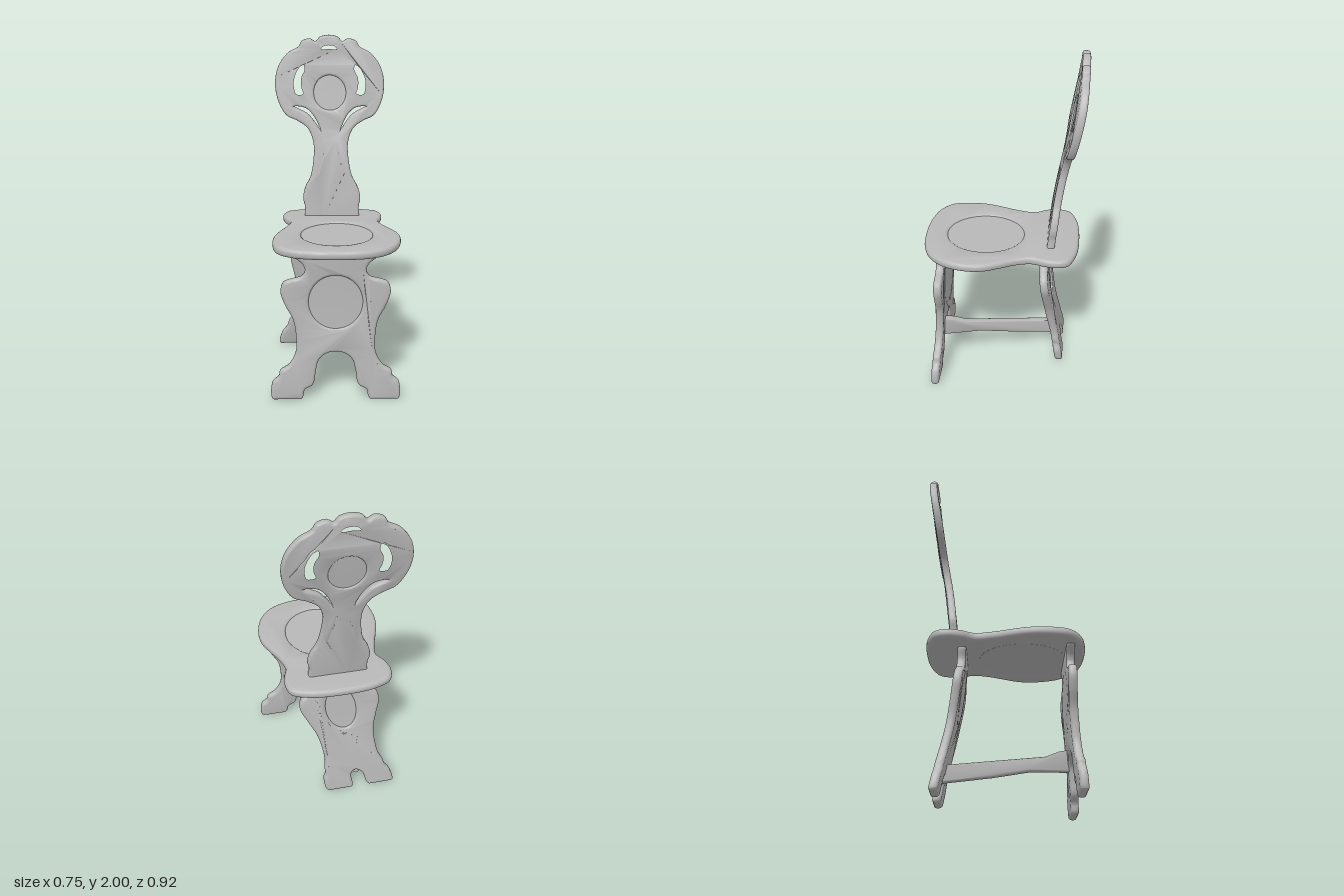
import * as THREE from 'three';
import { toCreasedNormals } from 'three/addons/utils/BufferGeometryUtils.js';

const wood = new THREE.MeshStandardMaterial({ color: 0xb8b8b8 });
wood.name = 'plain wood';

// Smooth closed outline through a few points
function smooth(points, y0 = -Infinity) {
  const curve = new THREE.CatmullRomCurve3(points.map(([x, y]) => new THREE.Vector3(x, y, 0)), true, 'centripetal');
  return curve.getPoints(points.length * 6).slice(0, -1).map(p => new THREE.Vector2(p.x, Math.max(y0, p.y)));
}

const flip = points => points.map(([x, y]) => [-x, y]).reverse();

// Closes a half outline that begins on the axis (x = 0)
const mirrored = half => [...half, ...flip(half.filter(p => p[0] > 0))];

function ellipse(x, y, rx, ry) {
  return new THREE.EllipseCurve(x, y, rx, ry).getPoints(56).slice(0, -1);
}

// Interpolates [y, value] pairs with eased blending
function rule(pairs) {
  const curve = new THREE.SplineCurve(pairs.map(([y, v]) => new THREE.Vector2(y, v)));
  const samples = curve.getPoints(60);
  return y => {
    let i = 1;
    while (i < samples.length - 1 && samples[i].x < y) i++;
    const a = samples[i - 1], b = samples[i];
    return a.y + (b.y - a.y) * (y - a.x) / (b.x - a.x);
  };
}

// Board with rounded edges, centred on its thickness
function board(outline, holes, thick, bevel) {
  const shape = new THREE.Shape(outline);
  shape.holes = holes.map(h => new THREE.Path(h));
  const geo = new THREE.ExtrudeGeometry(shape, {
    depth: thick - 2 * bevel, bevelEnabled: bevel > 0, bevelSize: bevel,
    bevelThickness: bevel, bevelOffset: -bevel, bevelSegments: 4,
  });
  return geo.translate(0, 0, bevel - thick / 2);
}

// Bends a board so that its centre follows x(y) and z(y)
function bend(geo, xOf, zOf) {
  const p = geo.attributes.position;
  for (let i = 0; i < p.count; i++) {
    const y = p.getY(i);
    p.setXYZ(i, p.getX(i) + xOf(y), y, p.getZ(i) + zOf(y));
  }
  return geo;
}

function mesh(name, geo) {
  const m = new THREE.Mesh(toCreasedNormals(geo, 0.6), wood);
  m.name = name;
  return m;
}

export function createModel() {
  const chair = new THREE.Group();
  chair.name = 'chair';

  // Seat with a shallow round hollow
  const seatOutline = [
    [0, 0.462], [0.16, 0.447], [0.27, 0.395], [0.337, 0.31], [0.37, 0.187], [0.364, 0.09],
    [0.327, 0], [0.285, -0.09], [0.264, -0.18], [0.283, -0.25], [0.292, -0.32], [0.27, -0.39],
    [0.2, -0.425], [0.1, -0.445], [-0.13, -0.445], [-0.23, -0.425], [-0.3, -0.39], [-0.325, -0.32],
    [-0.31, -0.24], [-0.275, -0.17], [-0.295, -0.06], [-0.33, 0.04], [-0.355, 0.13], [-0.36, 0.23],
    [-0.335, 0.35], [-0.255, 0.42], [-0.14, 0.453],
  ].map(([x, z]) => [x, -z]);
  const seat = board(smooth(seatOutline), [ellipse(0.005, -0.105, 0.206, 0.226)], 0.05, 0.02);
  chair.add(mesh('seat', seat.rotateX(-Math.PI / 2).translate(0, 0.879, 0)));
  const hollow = board(ellipse(0.005, -0.105, 0.23, 0.25), [], 0.04, 0);
  chair.add(mesh('seatHollow', hollow.rotateX(-Math.PI / 2).translate(0, 0.8735, 0)));

  // Carved backrest, leaning backwards
  const backHalf = [
    [0, 2.0], [0.055, 1.988], [0.082, 1.962], [0.115, 1.978], [0.165, 1.965], [0.188, 1.93],
    [0.25, 1.895], [0.31, 1.82], [0.335, 1.72], [0.32, 1.61], [0.27, 1.52], [0.2, 1.485],
    [0.14, 1.44], [0.108, 1.36], [0.107, 1.27], [0.128, 1.15], [0.165, 1.075], [0.178, 1.01],
    [0.168, 0.96], [0.168, 0.88], [0.15, 0.865],
  ];
  const sideOpening = [
    [0.15, 1.835], [0.19, 1.82], [0.225, 1.76], [0.235, 1.7], [0.215, 1.635],
    [0.165, 1.632], [0.148, 1.65], [0.16, 1.69], [0.16, 1.74], [0.138, 1.79],
  ];
  const curvedSlit = [[0.22, 1.572], [0.15, 1.562], [0.1, 1.512], [0.062, 1.43], [0.09, 1.47], [0.135, 1.525]];
  const longSlit = [[0.028, 1.36], [0.038, 1.377], [0.048, 1.36], [0.058, 1.27], [0.085, 1.155], [0.07, 1.155], [0.042, 1.26]];
  const handle = [[0, 1.953], [0.045, 1.942], [0.065, 1.913], [0.04, 1.9], [0, 1.903]];
  const backHoles = [mirrored(handle), ...[sideOpening, curvedSlit, longSlit].flatMap(h => [h, flip(h)])].map(h => smooth(h));
  const backX = y => -0.018 - 0.016 * (y - 0.9);
  const backZ = rule([[0.85, -0.28], [1.2, -0.319], [1.5, -0.372], [1.8, -0.424], [2.01, -0.437]]);
  backHoles.push(ellipse(0, 1.655, 0.098, 0.104));
  chair.add(mesh('backrest', bend(board(smooth(mirrored(backHalf)), backHoles, 0.044, 0.014), backX, backZ)));
  chair.add(mesh('backrestMedallion', bend(board(ellipse(0, 1.655, 0.106, 0.112), [], 0.026, 0), backX, backZ)));

  // Shaped leg board with an oval hollow on its outer face (side = 1 front, -1 back)
  function leg(name, half, oval, xOf, zOf, side) {
    const [y, rx, ry] = oval, thick = 0.048, bevel = 0.018;
    const group = new THREE.Group();
    group.name = name;
    group.add(mesh(name + 'Board', bend(board(smooth(mirrored(half), 0), [ellipse(0, y, rx, ry)], thick, bevel), xOf, zOf)));
    const plate = board(ellipse(0, y, rx + 0.022, ry + 0.022), [], 0.037, 0).translate(0, 0, -side * 0.006);
    group.add(mesh(name + 'Hollow', bend(plate, xOf, zOf)));
    chair.add(group);
  }

  leg('frontLeg', [
    [0, 0.29], [0.055, 0.277], [0.095, 0.24], [0.112, 0.18], [0.13, 0.09], [0.175, 0.06], [0.187, 0.015],
    [0.2, 0], [0.355, 0], [0.367, 0.015], [0.36, 0.105], [0.325, 0.14], [0.315, 0.175], [0.265, 0.21],
    [0.228, 0.28], [0.222, 0.36], [0.238, 0.475], [0.285, 0.57], [0.307, 0.645], [0.29, 0.7],
    [0.25, 0.717], [0.19, 0.735], [0.17, 0.77], [0.185, 0.81], [0.235, 0.855], [0.22, 0.87],
  ], [0.585, 0.15, 0.156], () => -0.005,
  rule([[-0.01, 0.395], [0.2, 0.384], [0.4, 0.372], [0.6, 0.364], [0.88, 0.367]]), 1);

  leg('backLeg', [
    [0, 0.13], [0.035, 0.1], [0.045, 0.015], [0.057, 0], [0.203, 0], [0.215, 0.012], [0.21, 0.09],
    [0.19, 0.13], [0.185, 0.17], [0.17, 0.22], [0.165, 0.3], [0.175, 0.42], [0.21, 0.53], [0.24, 0.63],
    [0.225, 0.69], [0.19, 0.72], [0.152, 0.745], [0.142, 0.79], [0.165, 0.855], [0.15, 0.87],
  ], [0.6, 0.09, 0.145],
  rule([[-0.01, -0.157], [0.25, -0.1], [0.6, -0.042], [0.88, -0.02]]),
  rule([[-0.01, -0.362], [0.2, -0.327], [0.4, -0.288], [0.7, -0.25], [0.88, -0.24]]), -1);

  // Stretcher running diagonally from the front leg down to the back leg
  const profile = [
    [0.365, 0.347], [0.3, 0.328], [0.23, 0.293], [-0.325, 0.188],
    [-0.34, 0.09], [-0.07, 0.147], [0.14, 0.2], [0.365, 0.22],
  ].map(([z, y]) => new THREE.Vector2(z, y));
  const stretcher = board(profile, [], 0.04, 0.01).rotateY(-Math.PI / 2);
  const p = stretcher.attributes.position;
  for (let i = 0; i < p.count; i++) p.setX(i, p.getX(i) - 0.01 + 0.36 * p.getZ(i));
  chair.add(mesh('stretcher', stretcher));

  return chair;
}
